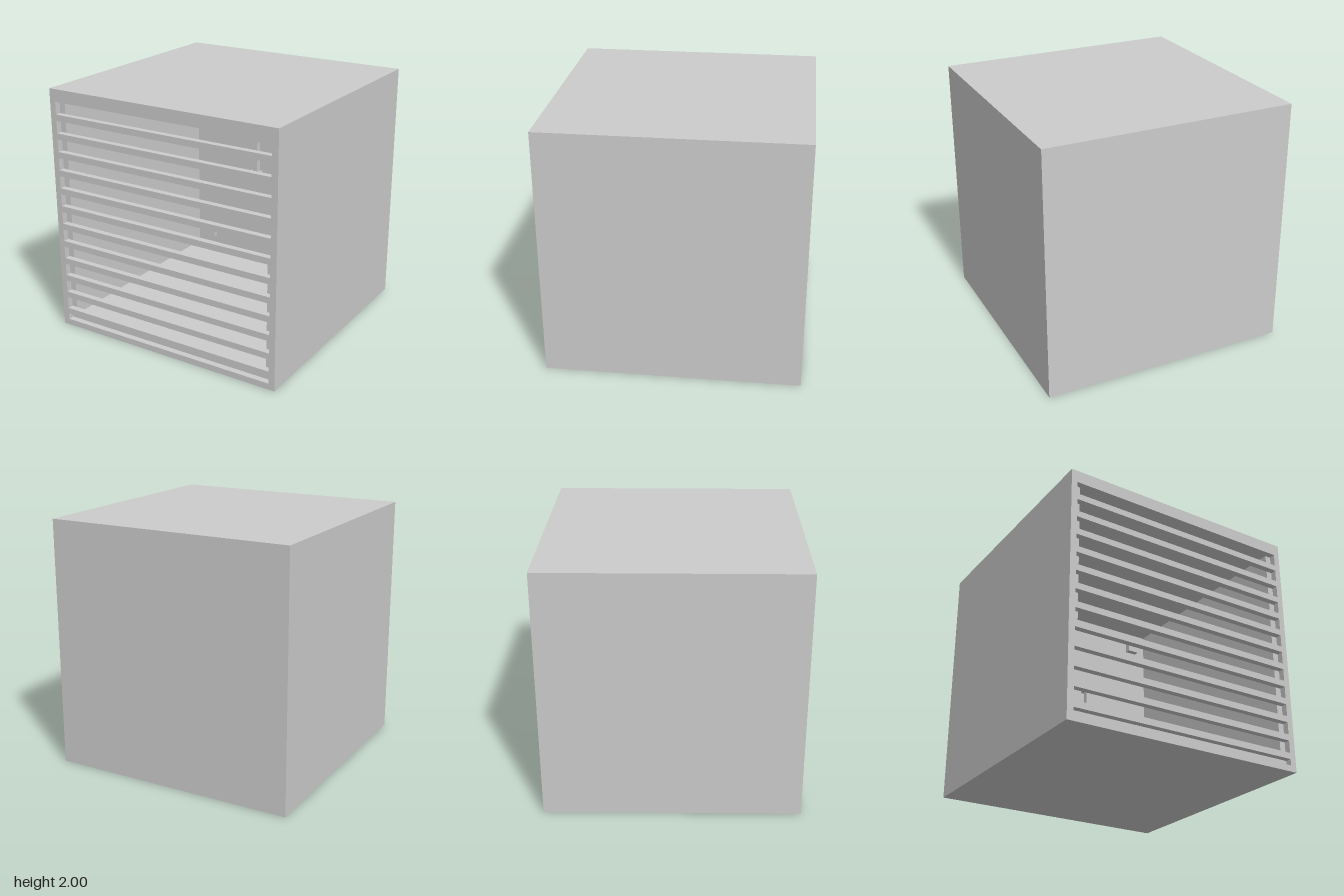
import * as THREE from 'three';

const material = new THREE.MeshStandardMaterial({ color: 0xcccccc, flatShading: true });

// Rectangle outline centred on (cx, cy)
function rect(Type, w, h, cx = 0, cy = 0) {
  const x = w / 2, y = h / 2;
  return new Type([[-x, -y], [x, -y], [x, y], [-x, y]]
    .map(([px, py]) => new THREE.Vector2(px + cx, py + cy)));
}

// Upright plate with rectangular holes, running from z to z + depth
function plate(name, w, h, cy, z, depth, holes = []) {
  const shape = rect(THREE.Shape, w, h, 0, cy);
  shape.holes = holes.map(([hw, hh, hy]) => rect(THREE.Path, hw, hh, 0, hy));
  const mesh = new THREE.Mesh(
    new THREE.ExtrudeGeometry(shape, { depth, bevelEnabled: false }), material);
  mesh.position.z = z;
  mesh.name = name;
  return mesh;
}

export function createModel() {
  const group = new THREE.Group();
  group.name = 'louveredBox';
  const t = 0.05; // wall thickness

  // Hollow casing: four side walls and a closed back
  group.add(plate('casingWalls', 2, 2, 1, -1 + t, 2 - 2 * t, [[1.9, 1.9, 1]]));
  group.add(plate('backPanel', 2, 2, 1, -1, t));

  // Front grille: a narrow bottom slot and twelve even slots above it
  const slots = [[1.9, 0.05, 0.075]];
  for (let i = 0; i < 12; i++) slots.push([1.9, 0.1, 0.2 + i * 0.15]);
  group.add(plate('frontGrille', 2, 2, 1, 1 - t, t, slots));

  // Inner frame directly behind the grille
  group.add(plate('innerFrame', 1.9, 1.9, 1, 1 - 2 * t, t, [[1.8, 1.8, 1]]));

  // Square pads on the inside of the back panel
  function addPads(name, dx, dy, cy) {
    for (const sx of [-1, 1]) for (const sy of [-1, 1]) {
      const pad = new THREE.Mesh(new THREE.BoxGeometry(0.1, 0.1, t), material);
      pad.position.set(sx * dx, cy + sy * dy, -1 + 1.5 * t);
      pad.name = name;
      group.add(pad);
    }
  }
  addPads('cornerPad', 0.8, 0.8, 1);
  addPads('bracketPad', 0.3, 0.2, 1.05);

  // Small rectangular bracket frame carried by the central pads
  group.add(plate('bracketFrame', 0.6, 0.4, 1.05, -1 + 2 * t, t, [[0.5, 0.3, 1.05]]));

  return group;
}
